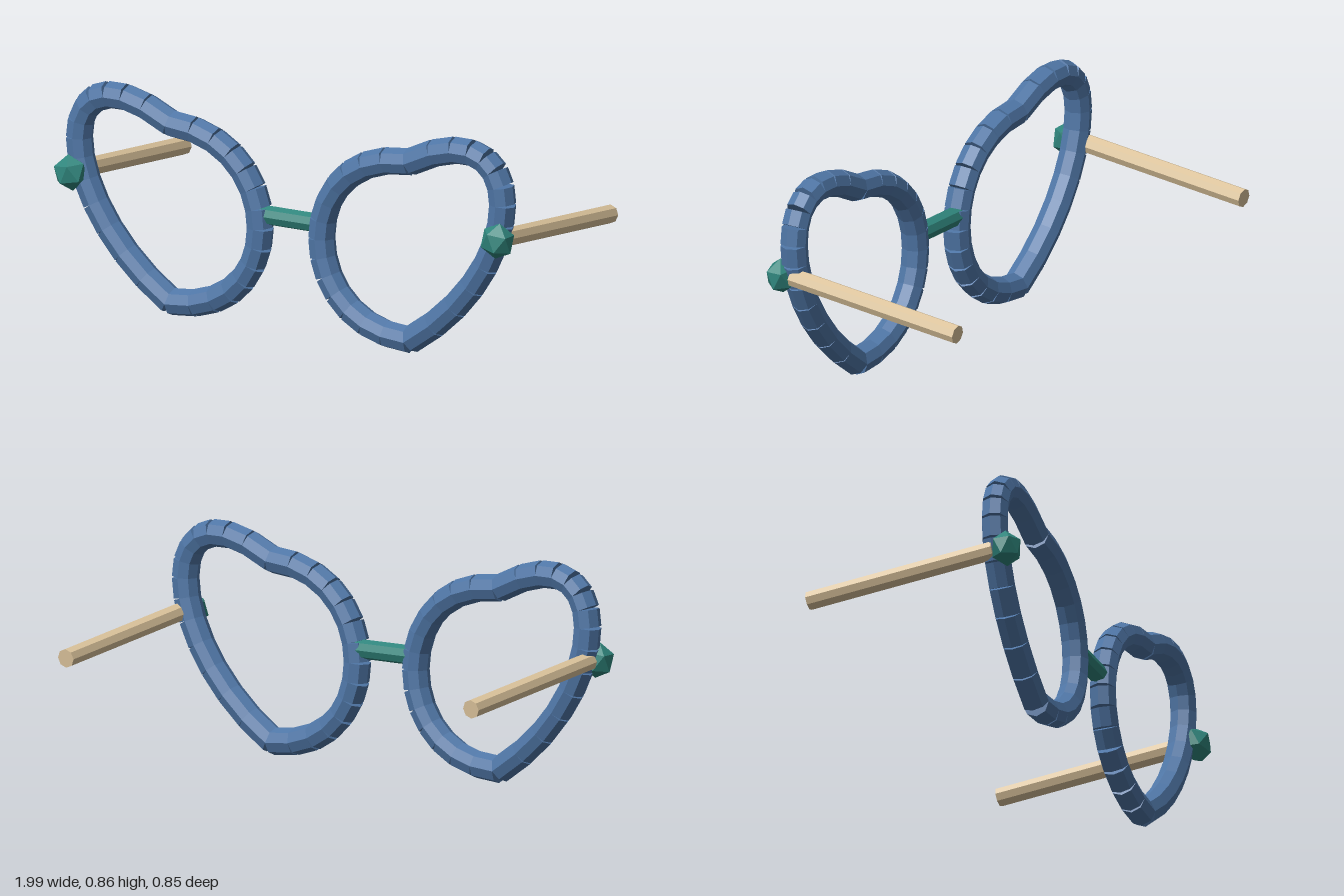
import * as THREE from 'three';

const material = (color) => new THREE.MeshStandardMaterial({ color, flatShading: true });
const v = (x, y, z) => new THREE.Vector3(x, y, z);

// Eight-sided rod between two points
function rod(name, a, b, radius, mat) {
  const mesh = new THREE.Mesh(new THREE.CylinderGeometry(radius, radius, a.distanceTo(b), 8), mat);
  mesh.name = name;
  mesh.position.copy(a).add(b).multiplyScalar(0.5);
  mesh.quaternion.setFromUnitVectors(v(0, 1, 0), b.clone().sub(a).normalize());
  return mesh;
}

export function createModel() {
  const model = new THREE.Group();
  model.name = 'heartGlasses';
  const blue = material(0x4f76a6);
  const teal = material(0x2f857c);
  const tan = material(0xdcc49c);
  const rimZ = 0.327;

  for (const [side, s] of [['left', 1], ['right', -1]]) {
    // Heart-shaped rim: an outer and an inner curve, each a chain of short rods
    const rim = new THREE.Group();
    rim.name = side + 'Rim';
    const notch = v(s * 0.525, 0.743, rimZ);
    const tip = v(s * 0.525, 0.055, rimZ);
    const halves = [
      new THREE.CubicBezierCurve3(notch, v(s * 1.065, 1.04, rimZ), v(s * 1.065, 0.39, rimZ), tip),
      new THREE.CubicBezierCurve3(notch, v(s * 0.005, 0.74, rimZ), v(s * 0.005, 0.05, rimZ), tip),
    ];
    for (const curve of halves) {
      const points = curve.getPoints(14);
      for (let i = 0; i < 14; i++) rim.add(rod('rimSegment', points[i], points[i + 1], 0.052, blue));
    }
    model.add(rim);

    // Temple arm, sloping down towards the back
    model.add(rod(side + 'Temple', v(s * 0.937, 0.508, 0.327), v(s * 0.937, 0.43, -0.42), 0.036, tan));

    // Faceted hinge stud
    const hinge = new THREE.Mesh(new THREE.IcosahedronGeometry(0.06, 0), teal);
    hinge.name = side + 'Hinge';
    hinge.scale.set(1.15, 1.17, 1);
    hinge.rotation.z = s * 0.4;
    hinge.position.set(s * 0.938, 0.506, 0.377);
    model.add(hinge);
  }

  // Bridge between the rims
  model.add(rod('bridge', v(-0.125, 0.447, 0.322), v(0.125, 0.447, 0.322), 0.037, teal));
  return model;
}
